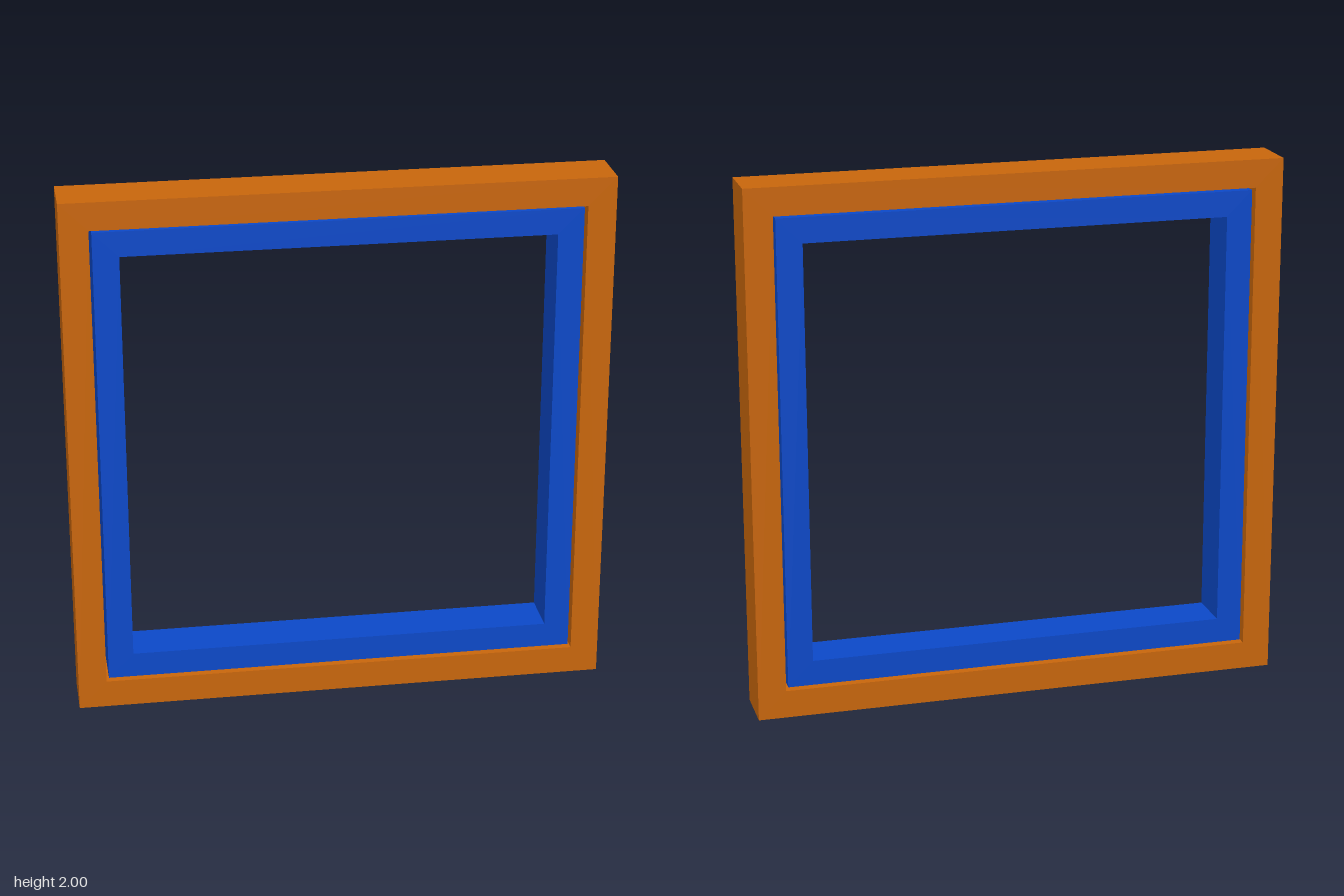
import * as THREE from 'three';

// Square frame centred on the origin, given by half-widths and depth
function squareFrame(name, outer, inner, depth, color) {
  const square = (Type, h) => new Type([
    new THREE.Vector2(-h, -h), new THREE.Vector2(h, -h),
    new THREE.Vector2(h, h), new THREE.Vector2(-h, h),
  ]);
  const shape = square(THREE.Shape, outer);
  shape.holes.push(square(THREE.Path, inner));
  const geometry = new THREE.ExtrudeGeometry(shape, { depth, bevelEnabled: false });
  geometry.translate(0, 1, -depth / 2);
  const mesh = new THREE.Mesh(geometry, new THREE.MeshStandardMaterial({ color }));
  mesh.name = name;
  return mesh;
}

export function createModel() {
  const group = new THREE.Group();
  group.name = 'windowFrame';
  // Fixed outer frame
  group.add(squareFrame('outerFrame', 1, 0.895, 0.2, 0xcc680c));
  // Slightly thinner sash, set inside with a narrow gap all round
  group.add(squareFrame('innerSash', 0.885, 0.79, 0.18, 0x0c4acc));
  return group;
}
